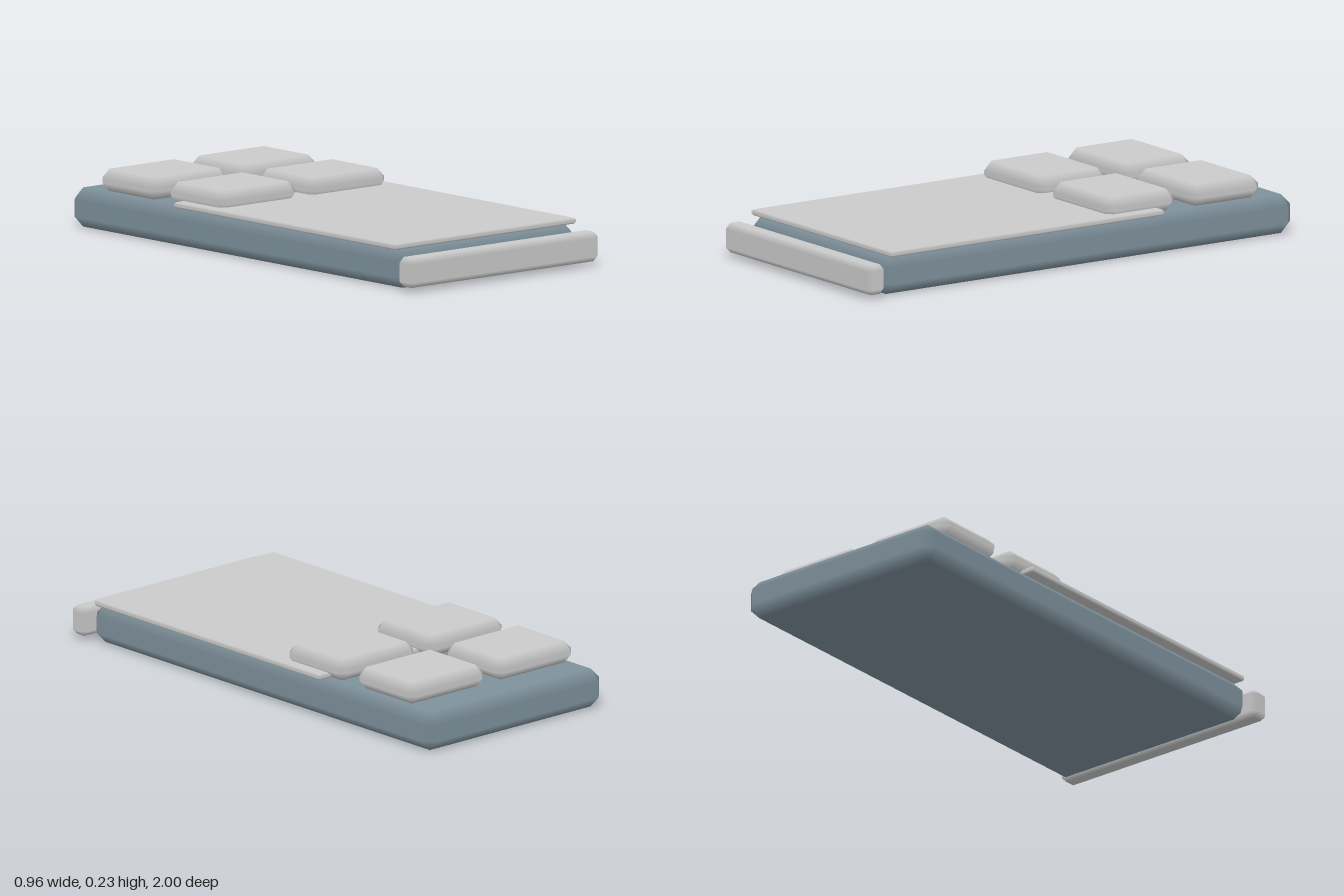
import * as THREE from 'three';
import { ConvexGeometry } from 'three/addons/geometries/ConvexGeometry.js';

const grey = new THREE.MeshStandardMaterial({ color: 0xcccccc });
const slate = new THREE.MeshStandardMaterial({ color: 0x7e919c });

// Box from min to max with single-step bevels; the large faces stay flat
// while the bevels blend softly between them.
function bevelledBox(name, min, max, bevel, material) {
  const half = min.map((v, i) => (max[i] - v) / 2);
  const points = [];
  for (const sx of [-1, 1]) for (const sy of [-1, 1]) for (const sz of [-1, 1]) {
    const sign = [sx, sy, sz];
    for (let axis = 0; axis < 3; axis++) {
      const p = sign.map((s, i) => s * (half[i] - (i === axis ? 0 : bevel)));
      points.push(new THREE.Vector3(...p));
    }
  }
  const geometry = new ConvexGeometry(points);

  // Each corner point takes the normal of the large face it lies on
  const pos = geometry.attributes.position;
  const normal = geometry.attributes.normal;
  for (let i = 0; i < pos.count; i++) {
    const p = [pos.getX(i), pos.getY(i), pos.getZ(i)];
    const n = p.map((v, k) => (Math.abs(Math.abs(v) - half[k]) < 1e-5 ? Math.sign(v) : 0));
    normal.setXYZ(i, ...n);
  }

  const mesh = new THREE.Mesh(geometry, material);
  mesh.name = name;
  mesh.position.set(...min.map((v, i) => (v + max[i]) / 2));
  return mesh;
}

export function createModel() {
  const model = new THREE.Group();
  model.name = 'slab';

  // Main body, thin cover plate and front bar
  model.add(bevelledBox('body', [-0.452, 0, -1], [0.452, 0.15, 0.917], 0.043, slate));
  model.add(bevelledBox('coverPlate', [-0.458, 0.15, -0.387], [0.458, 0.172, 0.886], 0.008, grey));
  model.add(bevelledBox('frontBar', [-0.478, 0.018, 0.916], [0.478, 0.132, 1], 0.021, grey));

  // Two by two cushions at the back
  const cushions = new THREE.Group();
  cushions.name = 'cushions';
  for (const side of [-1, 1]) {
    for (const z of [-0.703, -0.31]) {
      const x = side * 0.225;
      cushions.add(bevelledBox('cushion', [x - 0.197, 0.15, z - 0.164], [x + 0.197, 0.235, z + 0.164], 0.035, grey));
    }
  }
  model.add(cushions);
  return model;
}
